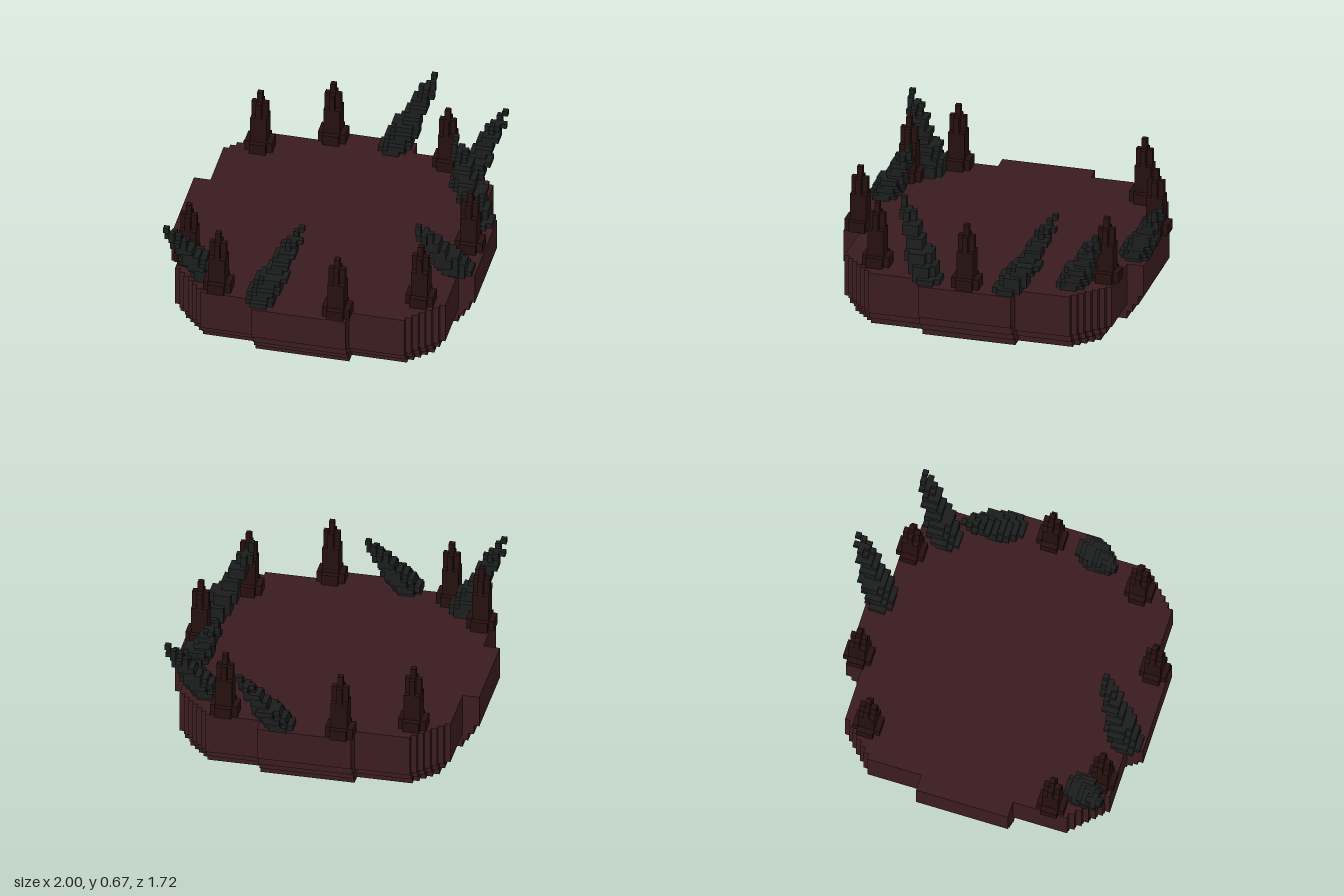
import * as THREE from 'three';
import { mergeGeometries } from 'three/addons/utils/BufferGeometryUtils.js';

const S = 0.0283; // voxel edge; the voxel grid is turned 45 degrees about y
const TOP = 0.3;

// A stepped slab: all voxels (cell centres u, w) that pass the test, from y0 to y1
function slab(inside, n, y0, y1, cu = 0, cw = 0) {
  const right = [], left = [];
  for (let j = -n; j <= n; j++) {
    let m = -1;
    for (let i = 0; i <= n; i++) if (inside(i * S, Math.abs(j) * S)) m = i;
    if (m < 0) continue;
    const e = (m + 0.5) * S;
    for (const w of [(j - 0.5) * S, (j + 0.5) * S]) {
      const last = right[right.length - 1];
      if (last && last.x === cu + e && Math.abs(last.y - cw - w) < 1e-6) continue;
      right.push(new THREE.Vector2(cu + e, cw + w));
      left.unshift(new THREE.Vector2(cu - e, cw + w));
    }
  }
  const geo = new THREE.ExtrudeGeometry(new THREE.Shape([...right, ...left]), {
    depth: y1 - y0, bevelEnabled: false,
  });
  return geo.rotateX(Math.PI / 2).translate(0, y1, 0);
}

// Model x, z to the turned grid's u, w
const toGrid = (x, z) => [(x - z) * Math.SQRT1_2, (x + z) * Math.SQRT1_2];

// Stepped spike from a wide foot at (bx, bz) to a single-voxel tip at (tx, tz)
function spike(bx, bz, tx, tz, radii) {
  const n = radii.length;
  const [bu, bw] = toGrid(bx, bz), [tu, tw] = toGrid(tx, tz);
  const layers = radii.map((r, k) => {
    const t = 1 - k / (n - 1);
    const cu = tu + Math.round((bu - tu) * t / S) * S;
    const cw = tw + Math.round((bw - tw) * t / S) * S;
    return slab((u, w) => Math.hypot(u, w) <= r * S, 3, TOP + k * S, TOP + (k + 1) * S, cu, cw);
  });
  return mergeGeometries(layers);
}

export function createModel() {
  const model = new THREE.Group();
  model.name = 'spikedPlatform';
  const grid = new THREE.Group();
  grid.name = 'voxels';
  grid.rotation.y = Math.PI / 4;
  model.add(grid);

  const mat = (color) => new THREE.MeshStandardMaterial({ color, flatShading: true });
  const baseMat = mat(0x3b1c20), brownMat = mat(0x26100f), blackMat = mat(0x1c1e1e);
  const add = (name, geo, material) => {
    const mesh = new THREE.Mesh(geo, material);
    mesh.name = name;
    grid.add(mesh);
  };

  // Round platform, drawn in towards the bottom: y0, y1, face, shoulder, corner limits
  const tiers = [
    [0, 0.04, 0.7, 0.65, 1.18],
    [0.04, 0.08, 0.74, 0.68, 1.21],
    [0.08, 0.13, 0.77, 0.715, 1.215],
    [0.13, TOP, 0.793, 0.715, 1.215],
  ];
  const platform = tiers.map(([y0, y1, face, shoulder, corner]) =>
    slab((u, w) => {
      const a = Math.max(u, w) + S / 2, b = Math.min(u, w) + S / 2;
      return a <= (b < 0.26 ? face : shoulder) + 0.004 && a + b <= corner + 0.004;
    }, 32, y0, y1));
  add('platform', mergeGeometries(platform), baseMat);

  // Upright brown spikes around the rim
  const upright = [2.3, 2.3, 1.5, 1.5, 1.5, 1.5, 1.5, 1, 1, 1, 0, 0];
  const brown = [
    [0.04, -0.77], [0.39, -0.64], [0.76, -0.15], [0.49, 0.5],
    [0.04, 0.76], [-0.37, 0.63], [-0.76, -0.15], [-0.76, 0.13],
  ];
  brown.forEach(([x, z], i) => add('uprightSpike' + (i + 1), spike(x, z, x, z, upright), brownMat));

  // Leaning black spikes: foot x, z and tip x, z
  const leaning = [2.3, 2.3, 2.3, 2.3, 2.3, 1.5, 1.5, 1.5, 1.5, 1, 1, 0, 0];
  const black = [
    [-0.74, 0.01, -0.98, -0.01], [-0.64, 0.33, -0.4, 0.34],
    [0.6, -0.4, 0.84, -0.41], [0.74, 0.03, 0.98, 0.04],
    [0.64, 0.34, 0.66, 0.09], [0.34, 0.64, 0.1, 0.64],
  ];
  black.forEach((p, i) => add('leaningSpike' + (i + 1), spike(...p, leaning), blackMat));

  return model;
}
